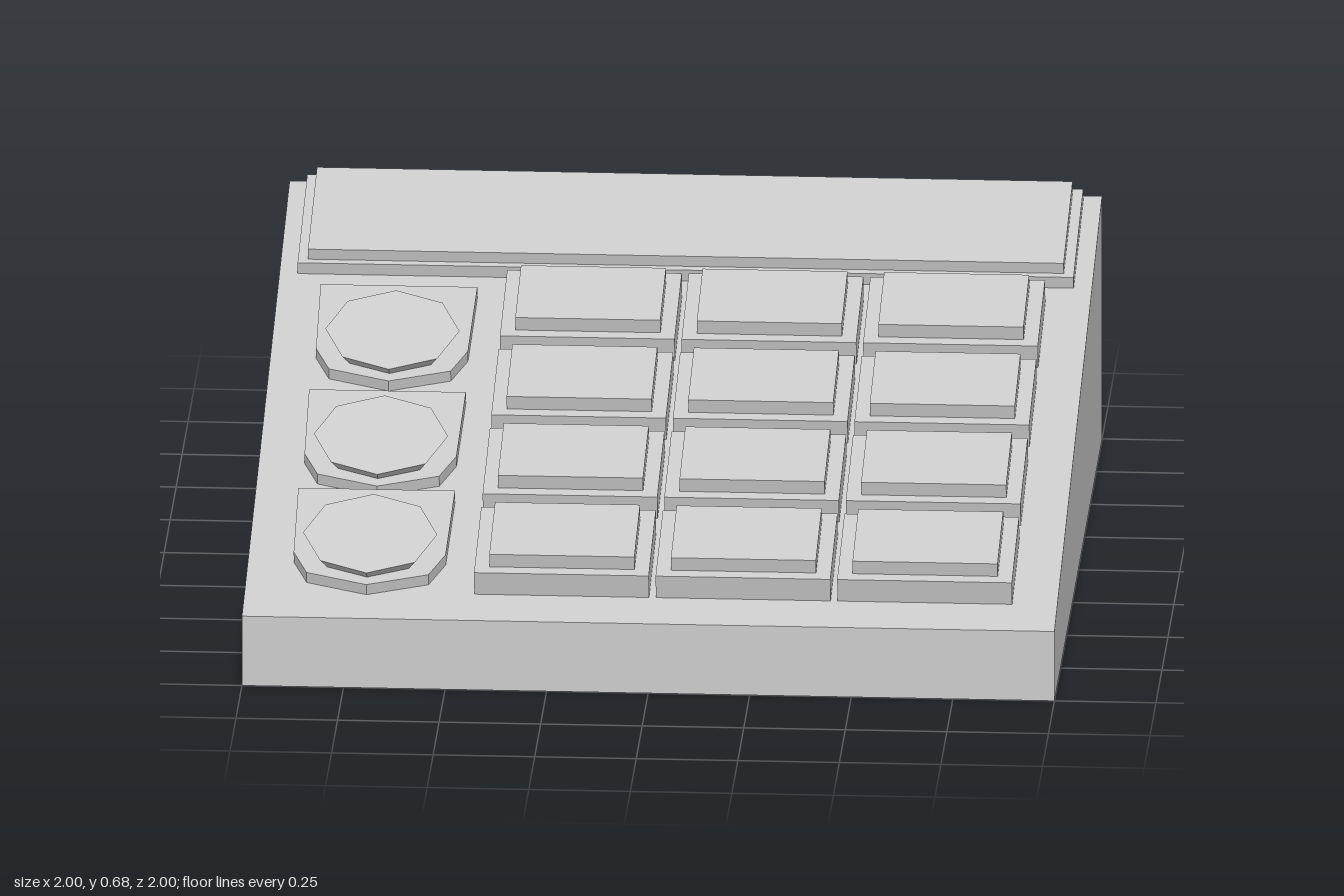
import * as THREE from 'three';

const FRONT_H = 0.18, BACK_H = 0.63;
const SLOPE = Math.atan((BACK_H - FRONT_H) / 2);

export function createModel() {
  const model = new THREE.Group();
  model.name = 'keypadConsole';
  const mat = new THREE.MeshStandardMaterial({ color: 0xcccccc, flatShading: true });

  const add = (parent, name, geometry) => {
    const mesh = new THREE.Mesh(geometry, mat);
    mesh.name = name;
    parent.add(mesh);
    return mesh;
  };

  // Wedge body, side profile extruded across the width
  const side = new THREE.Shape([[-1, 0], [1, 0], [1, BACK_H], [-1, FRONT_H]].map(p => new THREE.Vector2(...p)));
  const wedge = new THREE.ExtrudeGeometry(side, { depth: 2, bevelEnabled: false });
  wedge.translate(0, 0, -1).rotateY(Math.PI / 2);
  add(model, 'body', wedge);

  // Everything else lies on the sloping face: local y is its normal
  const face = new THREE.Group();
  face.name = 'slopingFace';
  face.position.y = (FRONT_H + BACK_H) / 2;
  face.rotation.x = SLOPE;
  model.add(face);

  // Slab standing from y0 to y1 and from z0 (back) to z1 (front)
  const slab = (parent, name, width, y0, y1, z0, z1) =>
    add(parent, name, new THREE.BoxGeometry(width, y1 - y0, z1 - z0)
      .translate(0, (y0 + y1) / 2, (z0 + z1) / 2));

  // Display panel along the back
  slab(face, 'displayFrame', 1.91, -0.005, 0.031, -1.006, -0.59);
  slab(face, 'displayPanel', 1.86, 0.031, 0.06, -0.994, -0.608);

  // Grid of stepped keys
  for (let row = 0; row < 4; row++) {
    for (let col = 0; col < 3; col++) {
      const key = new THREE.Group();
      key.name = `key_${row + 1}_${col + 1}`;
      key.position.set(-0.22 + col * 0.447, 0, -0.369 + row * 0.3717);
      slab(key, 'keyBase', 0.43, -0.005, 0.062, -0.155, 0.155);
      slab(key, 'keyCap', 0.357, 0.062, 0.098, -0.12, 0.126);
      face.add(key);
    }
  }

  // Round-nosed plate under each button (x, distance towards the back)
  const half = [[0.193, 0.272], [0.187, -0.03], [0.15, -0.125]];
  const outline = [
    ...half.map(([x, y]) => new THREE.Vector2(-x, y)),
    new THREE.Vector2(0, -0.177),
    ...half.map(([x, y]) => new THREE.Vector2(x, y)).reverse(),
  ];
  const plate = new THREE.ExtrudeGeometry(new THREE.Shape(outline), { depth: 0.033, bevelEnabled: false });
  plate.rotateX(-Math.PI / 2).translate(0, -0.004, 0);

  // Octagonal button, narrower at the foot
  const button = new THREE.CylinderGeometry(0.165, 0.12, 0.06, 8).translate(0, -0.03, 0);

  for (const z of [-0.223, 0.272, 0.736]) {
    const unit = new THREE.Group();
    unit.name = 'sideButton';
    unit.position.set(-0.7, 0, z);
    add(unit, 'buttonPlate', plate);
    const cap = add(unit, 'buttonCap', button);
    cap.position.y = 0.068;
    cap.rotation.x = 0.08;
    face.add(unit);
  }

  return model;
}
